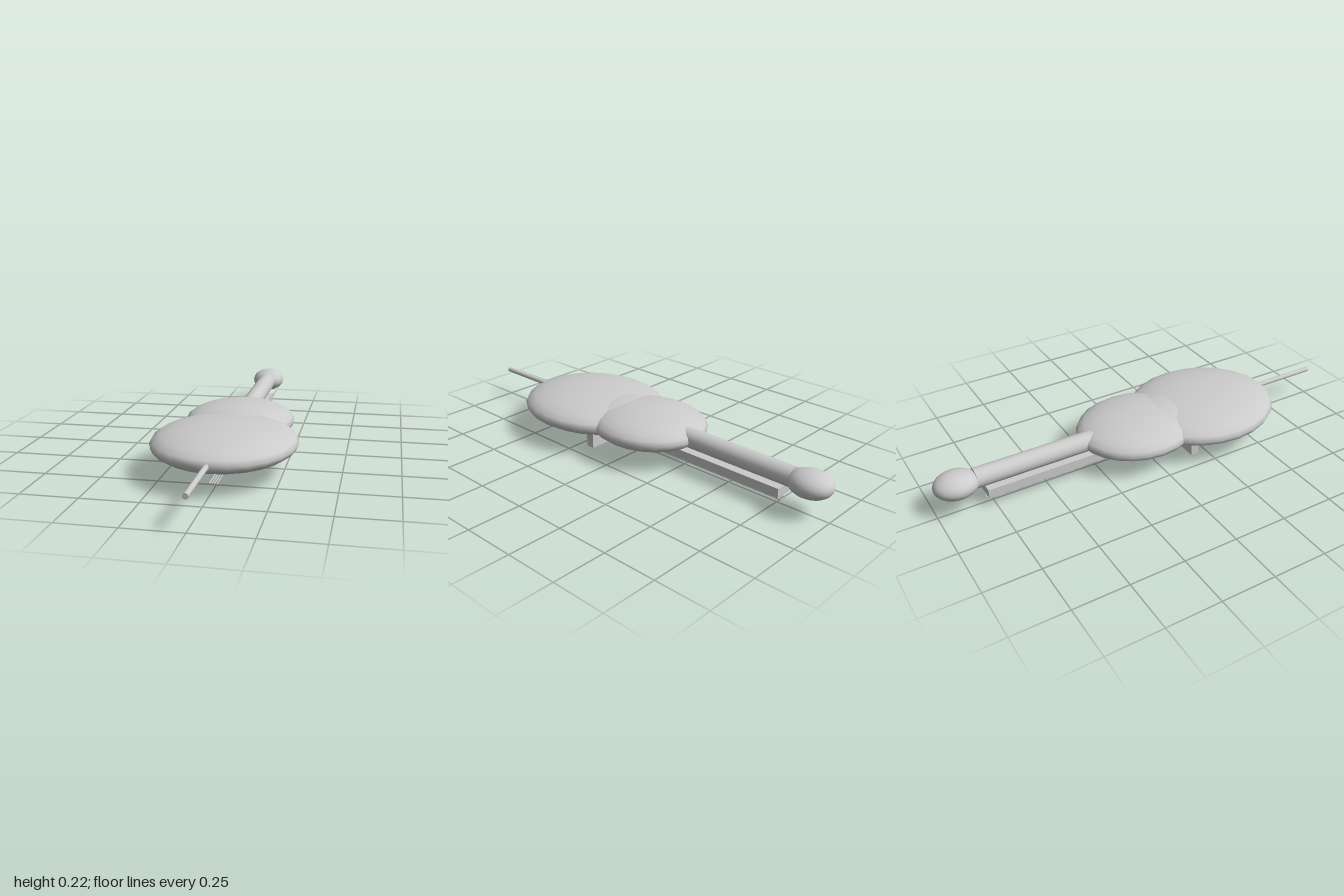
import * as THREE from 'three';

export function createModel() {
  const model = new THREE.Group();
  const material = new THREE.MeshStandardMaterial({ color: 0xcccccc });
  const axisY = 0.138;

  function add(name, geometry, x, y, z) {
    const mesh = new THREE.Mesh(geometry, material);
    mesh.name = name;
    mesh.position.set(x, y, z);
    model.add(mesh);
    return mesh;
  }

  // Flattened sphere given by its three radii
  function ellipsoid(name, z, rx, ry, rz) {
    const geometry = new THREE.SphereGeometry(1, 24, 12).scale(rx, ry, rz);
    return add(name, geometry, 0, axisY, z);
  }

  // Round rod running along z between two ends
  function rod(name, radius, x, y, z0, z1, sides) {
    const geometry = new THREE.CylinderGeometry(radius, radius, z1 - z0, sides).rotateX(Math.PI / 2);
    return add(name, geometry, x, y, (z0 + z1) / 2);
  }

  // Body: two bouts joined by a waist
  ellipsoid('lowerBout', 0.33, 0.318, 0.085, 0.36);
  ellipsoid('upperBout', -0.03, 0.253, 0.081, 0.285);
  ellipsoid('waist', 0.13, 0.2, 0.076, 0.22);

  // Neck, head and endpin
  rod('neck', 0.045, 0, 0.141, -0.82, -0.24, 20);
  ellipsoid('head', -0.9, 0.083, 0.058, 0.1).position.y = 0.141;
  rod('endpin', 0.012, 0, axisY, 0.64, 1, 12);

  // Fingerboard and bridge on the underside
  add('fingerboard', new THREE.BoxGeometry(0.085, 0.043, 0.91), 0, 0.0665, -0.325);
  add('bridge', new THREE.BoxGeometry(0.34, 0.068, 0.04), 0, 0.034, 0.19);

  // Four strings
  for (let i = 0; i < 4; i++) {
    rod('string' + (i + 1), 0.0032, (i - 1.5) * 0.0107, 0.027, -0.78, 0.565, 8);
  }
  return model;
}
